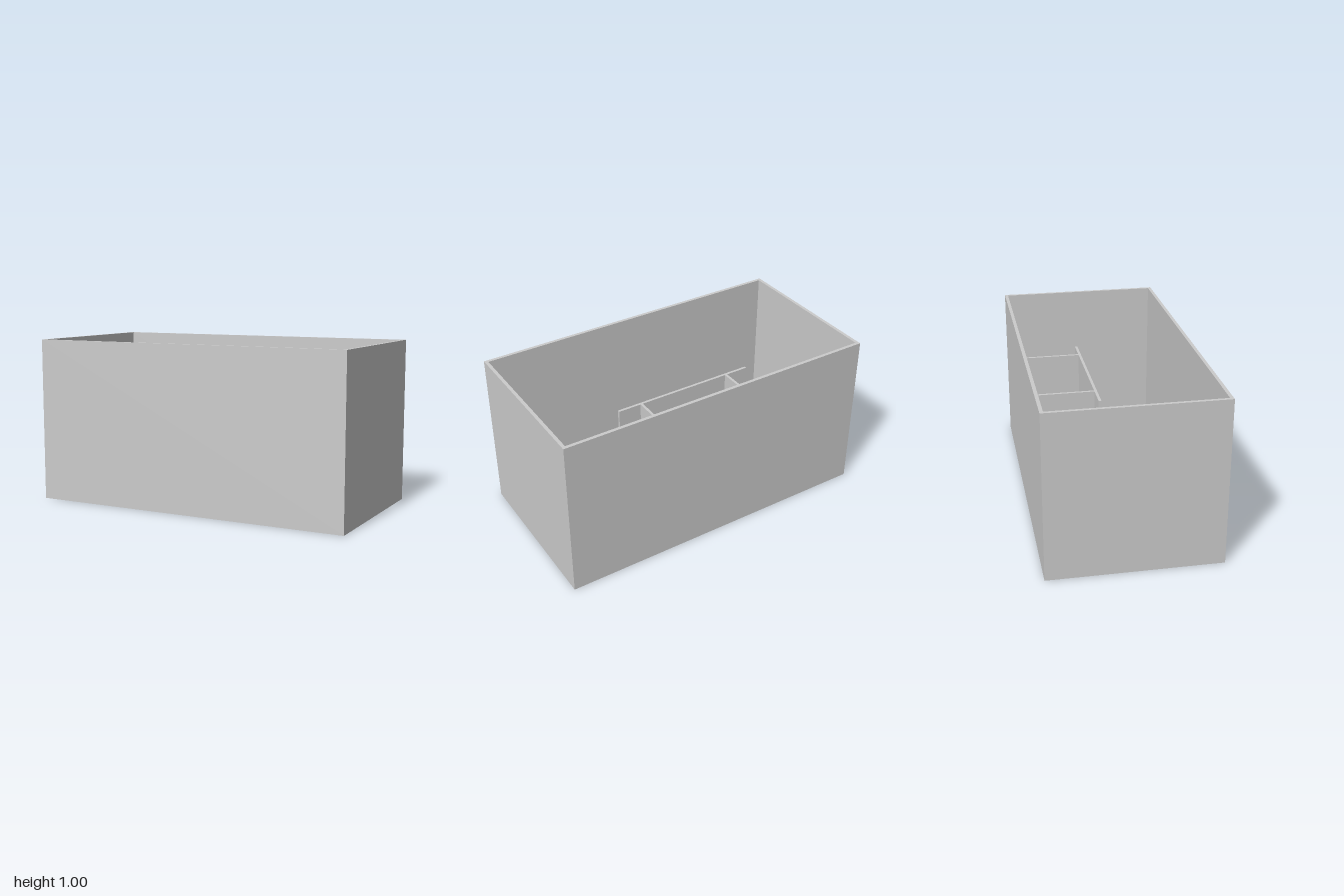
import * as THREE from 'three';

const material = new THREE.MeshStandardMaterial({ color: 0xcccccc });

function addPanel(group, name, w, h, d, x, y, z) {
  const panel = new THREE.Mesh(new THREE.BoxGeometry(w, h, d), material);
  panel.name = name;
  panel.position.set(x, y, z);
  group.add(panel);
}

function rectangle(Type, x, z) {
  return new Type([[-x, -z], [x, -z], [x, z], [-x, z]].map(([a, b]) => new THREE.Vector2(a, b)));
}

export function createModel() {
  const group = new THREE.Group();
  group.name = 'openEnclosure';

  // Outer walls: a rectangular ring, open at top and bottom
  const ring = rectangle(THREE.Shape, 1, 0.51);
  ring.holes.push(rectangle(THREE.Path, 0.98, 0.49));
  const wallGeometry = new THREE.ExtrudeGeometry(ring, { depth: 1, bevelEnabled: false });
  wallGeometry.rotateX(-Math.PI / 2);
  const walls = new THREE.Mesh(wallGeometry, material);
  walls.name = 'outerWalls';
  group.add(walls);

  // Inner screen, held off the back wall by two side partitions
  addPanel(group, 'screenPanel', 0.9, 0.6, 0.016, 0, 0.5, -0.104);
  for (const [name, side] of [['leftPartition', 1], ['rightPartition', -1]]) {
    addPanel(group, name, 0.016, 0.6, 0.378, side * 0.3, 0.5, -0.301);
  }

  return group;
}
